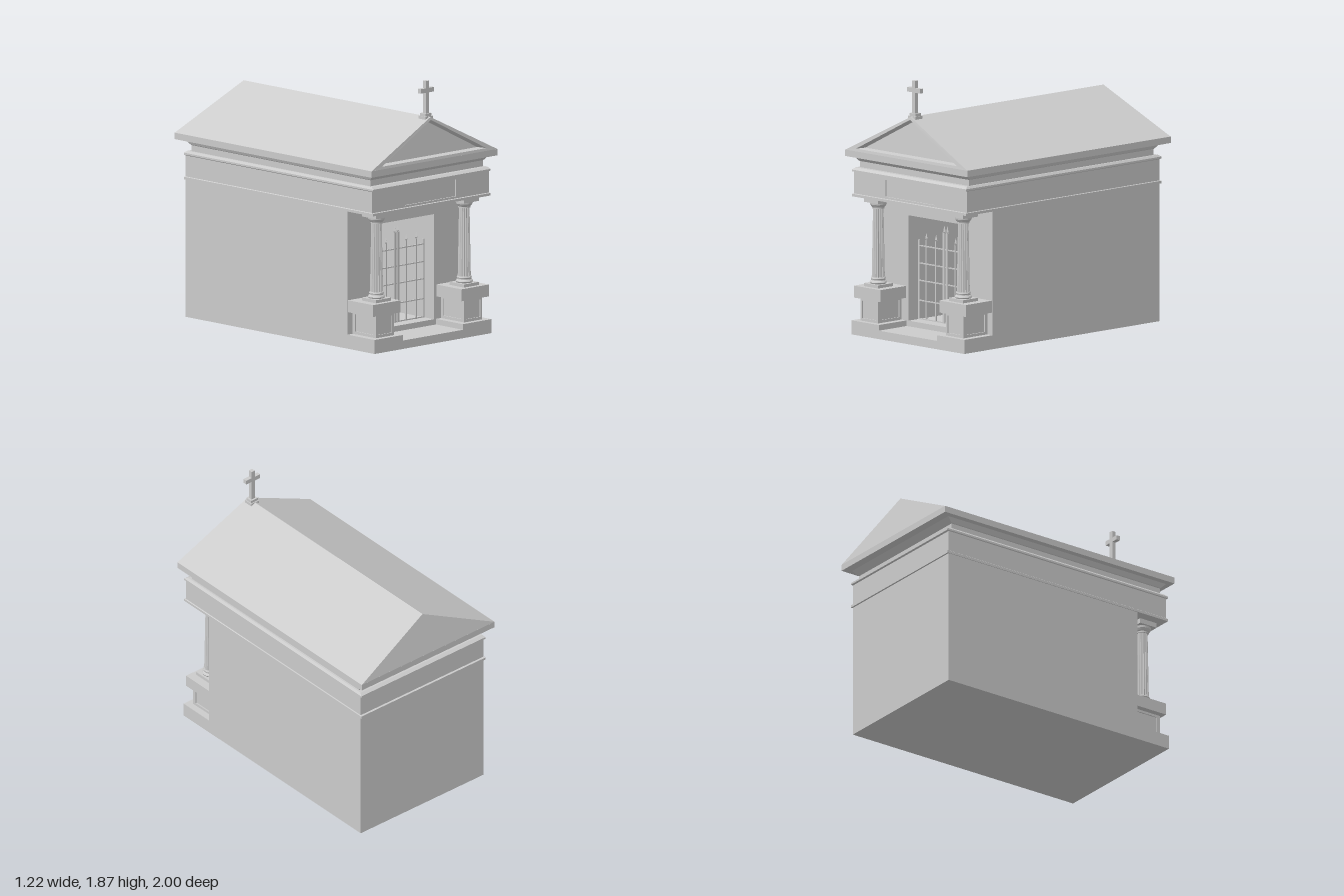
import * as THREE from 'three';

const material = new THREE.MeshStandardMaterial({ color: 0xcccccc, flatShading: true });
const smooth = new THREE.MeshStandardMaterial({ color: 0xcccccc });

function add(parent, name, geometry, mat = material) {
  const mesh = new THREE.Mesh(geometry, mat);
  mesh.name = name;
  parent.add(mesh);
  return mesh;
}

// Box given by its limits on each axis
function block(parent, name, x0, x1, y0, y1, z0, z1) {
  const mesh = add(parent, name, new THREE.BoxGeometry(x1 - x0, y1 - y0, z1 - z0));
  mesh.position.set((x0 + x1) / 2, (y0 + y1) / 2, (z0 + z1) / 2);
  return mesh;
}

// Skin a list of equal-length rings and cap both ends
function loft(rings) {
  const points = [];
  const n = rings[0].length;
  const tri = (...corners) => corners.forEach((c) => points.push(...c));
  for (let r = 0; r < rings.length - 1; r++) {
    const a = rings[r], b = rings[r + 1];
    for (let i = 0; i < n; i++) {
      const j = (i + 1) % n;
      tri(a[i], a[j], b[j]);
      tri(a[i], b[j], b[i]);
    }
  }
  const first = rings[0], last = rings[rings.length - 1];
  for (let i = 1; i < n - 1; i++) {
    tri(first[0], first[i + 1], first[i]);
    tri(last[0], last[i], last[i + 1]);
  }
  const g = new THREE.BufferGeometry();
  g.setAttribute('position', new THREE.Float32BufferAttribute(points, 3));
  g.computeVertexNormals();
  return g;
}

function rectPath(path, x0, x1, y0, y1) {
  path.moveTo(x0, y0);
  path.lineTo(x1, y0);
  path.lineTo(x1, y1);
  path.lineTo(x0, y1);
  path.closePath();
  return path;
}

// Rectangular plate with a rectangular opening, extruded towards +z
function frame(outer, inner, depth) {
  const shape = rectPath(new THREE.Shape(), ...outer);
  shape.holes.push(rectPath(new THREE.Path(), ...inner));
  return new THREE.ExtrudeGeometry(shape, { depth, bevelEnabled: false });
}

// Fluted, tapering column shaft
function shaftGeometry(top, bottom, height) {
  const g = new THREE.CylinderGeometry(top, bottom, height, 64, 1);
  const p = g.attributes.position;
  for (let i = 0; i < p.count; i++) {
    const x = p.getX(i), z = p.getZ(i);
    const k = 1 - 0.13 * Math.abs(Math.sin(8 * Math.atan2(z, x)));
    p.setX(i, x * k);
    p.setZ(i, z * k);
  }
  return g;
}

function createPorchSide() {
  const side = new THREE.Group();
  block(side, 'plinth', 0.29, 0.565, 0.06, 0.1, 0.71, 0.985);

  // Pedestal with sunken panels on the exposed faces
  block(side, 'pedestalCore', 0.348, 0.507, 0.1, 0.26, 0.71, 0.937);
  add(side, 'pedestalFrontPanel', frame([0.34, 0.515, 0.1, 0.26], [0.358, 0.497, 0.12, 0.243], 0.008)).position.z = 0.937;
  for (const s of [-1, 1]) {
    const panel = add(side, 'pedestalSidePanel', frame([-0.1135, 0.1135, 0.1, 0.26], [-0.09, 0.09, 0.12, 0.243], 0.008));
    panel.rotation.y = s * Math.PI / 2;
    panel.position.set(0.4275 + s * 0.0795, 0, 0.8235);
  }
  block(side, 'pedestalCap', 0.295, 0.56, 0.26, 0.345, 0.71, 0.965);

  // Column
  const column = new THREE.Group();
  column.name = 'column';
  column.position.set(0.425, 0, 0.857);
  side.add(column);
  block(column, 'columnPlinth', -0.072, 0.072, 0.345, 0.367, -0.072, 0.072);
  const lathe = (name, pts) => add(column, name,
    new THREE.LatheGeometry(pts.map(([r, y]) => new THREE.Vector2(r, y)), 32));
  lathe('columnBase', [[0.001, 0.367], [0.056, 0.367], [0.061, 0.376], [0.056, 0.385], [0.05, 0.39],
    [0.05, 0.396], [0.053, 0.403], [0.049, 0.412], [0.001, 0.412]]);
  add(column, 'columnShaft', shaftGeometry(0.037, 0.046, 0.5)).position.y = 0.66;
  lathe('columnCapital', [[0.001, 0.9], [0.043, 0.9], [0.043, 0.91], [0.05, 0.916], [0.059, 0.93],
    [0.061, 0.946], [0.001, 0.946]]);
  block(column, 'columnAbacus', -0.072, 0.072, 0.945, 0.98, -0.072, 0.072);
  return side;
}

function createGate() {
  const gate = new THREE.Group();
  gate.name = 'gate';
  gate.position.z = 0.61;
  for (const y of [0.105, 0.235, 0.377, 0.5, 0.625]) {
    block(gate, 'gateRail', -0.27, 0.27, y - 0.004, y + 0.004, -0.004, 0.004);
  }
  // x, bar top, half width, spear tip height
  const bars = [[0.266, 0.665, 0.006, 0], [0.195, 0.675, 0.005, 0.718], [0.098, 0.675, 0.005, 0.718], [0.015, 0.745, 0.009, 0.795]];
  for (const s of [-1, 1]) {
    for (const [x, top, w, tip] of bars) {
      block(gate, 'gateBar', s * x - w, s * x + w, 0.1, top, -w, w);
      if (!tip) continue;
      const h = tip - top;
      const spear = new THREE.LatheGeometry([[0.001, -0.012], [0.012, 0.008], [0.001, h]]
        .map(([r, y]) => new THREE.Vector2(r, y)), 4);
      add(gate, 'gateSpear', spear).position.set(s * x, top, 0);
    }
  }
  return gate;
}

export function createModel() {
  const model = new THREE.Group();
  model.name = 'mausoleum';

  // Chamber with a deep doorway, closed at the back
  add(model, 'chamberWalls', frame([-0.565, 0.565, 0, 0.98], [-0.272, 0.272, 0.1, 0.85], 1.56)).position.z = -0.85;
  block(model, 'backWall', -0.565, 0.565, 0, 0.98, -0.935, -0.85);
  block(model, 'porchFloor', -0.565, 0.565, 0, 0.06, 0.71, 0.985);
  model.add(createGate());

  // Two matching pedestals and columns
  for (const s of [-1, 1]) {
    const side = createPorchSide();
    side.name = s > 0 ? 'leftPorchSide' : 'rightPorchSide';
    if (s < 0) side.scale.x = -1;
    model.add(side);
  }

  // Entablature mouldings: half width, height, front z, back z
  const profile = [
    [0.57, 0.98, 0.973, -0.948], [0.57, 0.998, 0.973, -0.948], [0.565, 1.002, 0.95, -0.935],
    [0.565, 1.152, 0.95, -0.935], [0.57, 1.157, 0.973, -0.948], [0.57, 1.17, 0.973, -0.948],
    [0.558, 1.185, 0.95, -0.925], [0.545, 1.185, 0.92, -0.895], [0.545, 1.228, 0.92, -0.895],
    [0.55, 1.232, 0.925, -0.9], [0.567, 1.266, 0.96, -0.94],
  ];
  add(model, 'entablature', loft(profile.map(([x, y, f, b]) =>
    [[-x, y, f], [x, y, f], [x, y, b], [-x, y, b]])));
  add(model, 'friezePlaque', frame([-0.565, 0.565, 1, 1.155], [-0.248, 0.248, 1.015, 1.135], 0.01)).position.z = 0.95;

  // Roof: eave slab, then gable with slanting ends and a sunken pediment
  block(model, 'eave', -0.61, 0.61, 1.265, 1.311, -1, 1);
  const triangle = (w, y0, y1, z0, z1) => [[-w, y0, z0], [w, y0, z0], [0, y1, z1]];
  add(model, 'roof', loft([
    triangle(0.61, 1.31, 1.613, -1, -0.938),
    triangle(0.61, 1.31, 1.613, 1, 0.96),
    triangle(0.505, 1.33, 1.593, 0.997, 0.963),
    triangle(0.465, 1.336, 1.578, 0.945, 0.92),
  ]));

  // Cross on the ridge
  const cross = new THREE.Group();
  cross.name = 'cross';
  model.add(cross);
  block(cross, 'crossFoot', -0.036, 0.036, 1.585, 1.616, 0.876, 0.946);
  block(cross, 'crossBase', -0.03, 0.03, 1.616, 1.636, 0.884, 0.938);
  block(cross, 'crossPost', -0.015, 0.015, 1.63, 1.867, 0.898, 0.928);
  block(cross, 'crossArms', -0.064, 0.064, 1.783, 1.815, 0.898, 0.928);
  return model;
}
